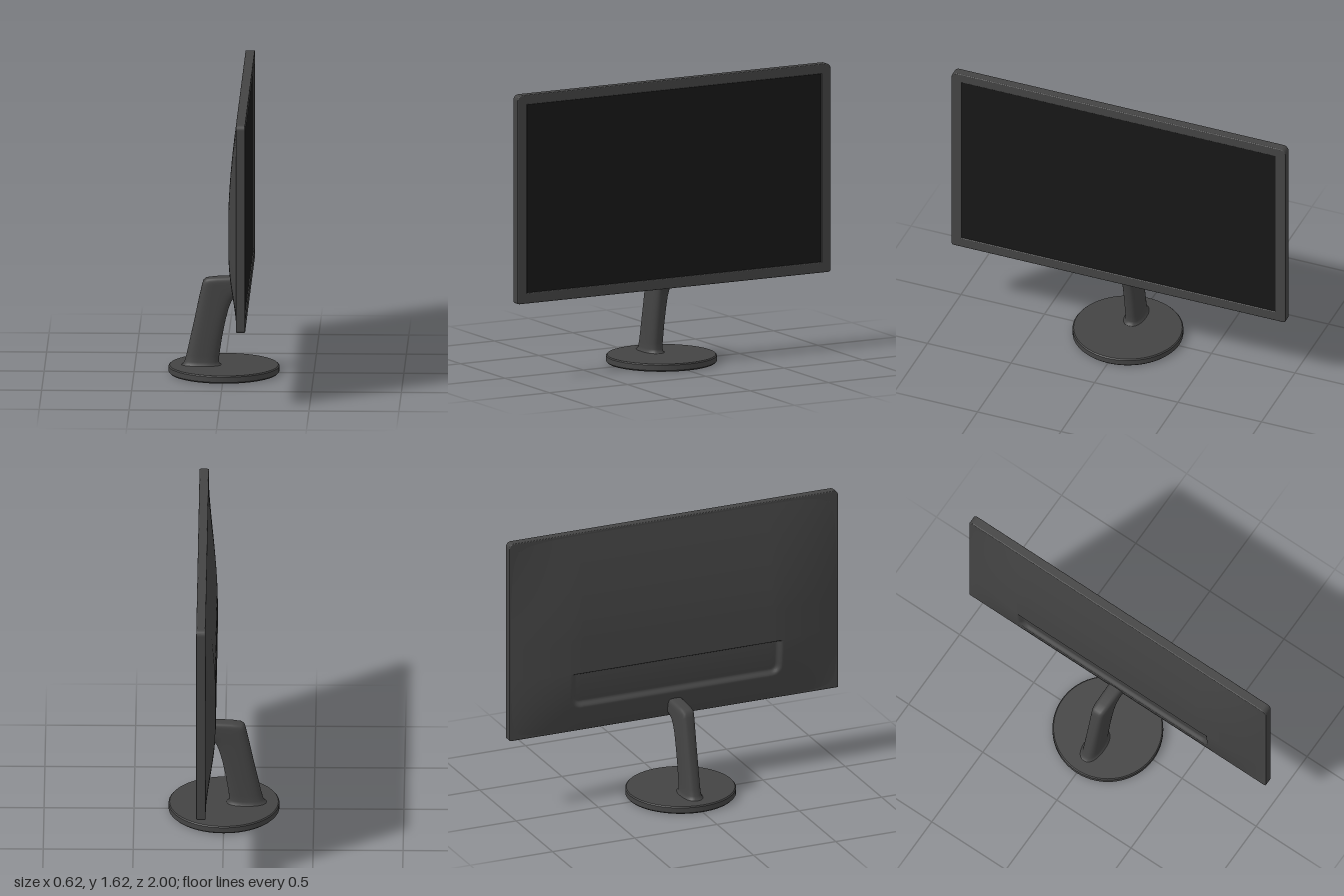
import * as THREE from 'three';

const bodyMat = new THREE.MeshStandardMaterial({ color: 0x444444 });
const screenMat = new THREE.MeshStandardMaterial({ color: 0x181818 });
const BOTTOM = 0.44, TOP = 1.62, CORNER = 0.03;

function part(name, geometry, material = bodyMat) {
  const mesh = new THREE.Mesh(geometry, material);
  mesh.name = name;
  return mesh;
}

function gridGeometry(positions, index) {
  const g = new THREE.BufferGeometry();
  g.setAttribute('position', new THREE.Float32BufferAttribute(positions, 3));
  g.setIndex(index);
  g.computeVertexNormals();
  return g;
}

// Rectangle with separate radii for the top and bottom corners
function roundedRect(w, y0, y1, rTop, rBottom) {
  const s = new THREE.Shape();
  s.moveTo(-w + rBottom, y0);
  s.lineTo(w - rBottom, y0);
  s.absarc(w - rBottom, y0 + rBottom, rBottom, -Math.PI / 2, 0);
  s.absarc(w - rTop, y1 - rTop, rTop, 0, Math.PI / 2);
  s.absarc(-w + rTop, y1 - rTop, rTop, Math.PI / 2, Math.PI);
  s.absarc(-w + rBottom, y0 + rBottom, rBottom, Math.PI, Math.PI * 1.5);
  return s;
}

// Bezel: an extruded frame facing +x
function bezel() {
  const bevel = 0.005;
  const shape = roundedRect(1 - bevel, BOTTOM + bevel, TOP - bevel, CORNER - bevel, 0.008);
  const hole = new THREE.Path();
  const w = 0.94 + bevel, y0 = 0.5 - bevel, y1 = 1.565 + bevel;
  hole.moveTo(-w, y0).lineTo(-w, y1).lineTo(w, y1).lineTo(w, y0).closePath();
  shape.holes.push(hole);
  const g = new THREE.ExtrudeGeometry(shape, {
    depth: 0.042, bevelSize: bevel, bevelThickness: bevel, bevelSegments: 3, curveSegments: 8,
  });
  return g.rotateY(Math.PI / 2).translate(0.098, 0, 0);
}

// Back cover: a shallow dome with a sunken connector bay low down
function coverX(y, z) {
  const az = Math.abs(z);
  const ty = y > 1 ? (y - 1) / 0.62 : Math.max(0, (0.8 - y) / 0.36);
  const fy = 1 - Math.pow(Math.min(1, ty), y > 1 ? 1.65 : 1.8);
  const fz = 1 - Math.pow(Math.min(1, Math.max(0, (az - 0.58) / 0.42)), 1.6);
  const r = 0.06, dx = az - 0.64 + r, dy = 0.59 - y + r;
  const dist = Math.hypot(Math.max(dx, 0), Math.max(dy, 0)) + Math.min(Math.max(dx, dy), 0) - r;
  const bay = THREE.MathUtils.smoothstep(-dist, 0, 0.03) * THREE.MathUtils.smoothstep(0.8 - y, 0, 0.006);
  return 0.095 - 0.055 * fy * fz + 0.025 * bay;
}

function spans(stops) {
  const out = [stops[0][0]];
  for (let k = 1; k < stops.length; k++) {
    const [end, n] = stops[k], start = stops[k - 1][0];
    for (let i = 1; i <= n; i++) out.push(start + (end - start) * i / n);
  }
  return out;
}

function backCover() {
  const zs = spans([[-0.998, 0], [-0.65, 18], [-0.56, 12], [0.56, 30], [0.65, 12], [0.998, 18]]);
  const ys = spans([[BOTTOM + 0.002, 0], [0.58, 8], [0.67, 12], [0.79, 6], [0.805, 8],
    [TOP - CORNER, 28], [TOP - 0.002, 6]]);
  const positions = [], index = [], n = zs.length;
  ys.forEach((y, j) => {
    const up = Math.max(0, y - (TOP - CORNER));
    const width = 1 - CORNER + Math.sqrt(CORNER * CORNER - up * up);
    zs.forEach((z, i) => {
      positions.push(coverX(y, z), y, z * width);
      if (i && j) {
        const d = j * n + i, c = d - 1, b = d - n, a = b - 1;
        index.push(a, b, c, b, d, c);
      }
    });
  });
  return gridGeometry(positions, index);
}

// Stand neck: sections given as [back x, back y, front x, front y, half width, squareness]
function neck() {
  const sections = [
    [-0.238, 0.043, -0.012, 0.043, 0.06, 2.3],
    [-0.227, 0.05, -0.024, 0.05, 0.052, 2.4],
    [-0.219, 0.065, -0.029, 0.065, 0.048, 2.5],
    [-0.209, 0.1, -0.026, 0.1, 0.046, 2.6],
    [-0.187, 0.2, -0.011, 0.2, 0.045, 2.7],
    [-0.165, 0.3, 0.009, 0.3, 0.044, 2.9],
    [-0.138, 0.43, 0.026, 0.365, 0.043, 3.2],
    [-0.122, 0.5, 0.04, 0.402, 0.043, 3.5],
    [-0.115, 0.524, 0.052, 0.422, 0.043, 3.8],
    [-0.1, 0.537, 0.064, 0.436, 0.043, 4],
    [-0.05, 0.544, 0.077, 0.444, 0.043, 4],
    [0.03, 0.548, 0.088, 0.449, 0.043, 4],
    [0.094, 0.548, 0.094, 0.452, 0.043, 4],
  ];
  const sides = 40, positions = [], index = [];
  const power = (v, p) => Math.sign(v) * Math.pow(Math.abs(v), 2 / p);
  sections.forEach(([bx, by, fx, fy, w, p], j) => {
    for (let i = 0; i < sides; i++) {
      const a = i / sides * Math.PI * 2;
      const t = (1 + power(Math.cos(a), p)) / 2;
      positions.push(bx + (fx - bx) * t, by + (fy - by) * t, w * power(Math.sin(a), p));
      if (j) {
        const k = (i + 1) % sides, lo = (j - 1) * sides, hi = j * sides;
        index.push(lo + i, hi + i, lo + k, lo + k, hi + i, hi + k);
      }
    }
  });
  return gridGeometry(positions, index);
}

// Round foot: doubled profile points keep the edges crisp
function foot() {
  const profile = [[0, 0], [0.3, 0], [0.3, 0], [0.308, 0.008], [0.308, 0.008],
    [0.308, 0.038], [0.308, 0.038], [0.302, 0.044], [0.302, 0.044], [0, 0.044]];
  return new THREE.LatheGeometry(profile.map(([r, y]) => new THREE.Vector2(r, y)), 64);
}

export function createModel() {
  const model = new THREE.Group();
  model.name = 'monitor';

  const display = new THREE.Group();
  display.name = 'display';
  const screen = part('screen', new THREE.BoxGeometry(0.02, 1.085, 1.9), screenMat);
  screen.position.set(0.129, 1.0325, 0);
  display.add(part('bezel', bezel()), screen, part('backCover', backCover()));

  const stand = new THREE.Group();
  stand.name = 'stand';
  stand.add(part('neck', neck()), part('foot', foot()));

  model.add(display, stand);
  return model;
}
